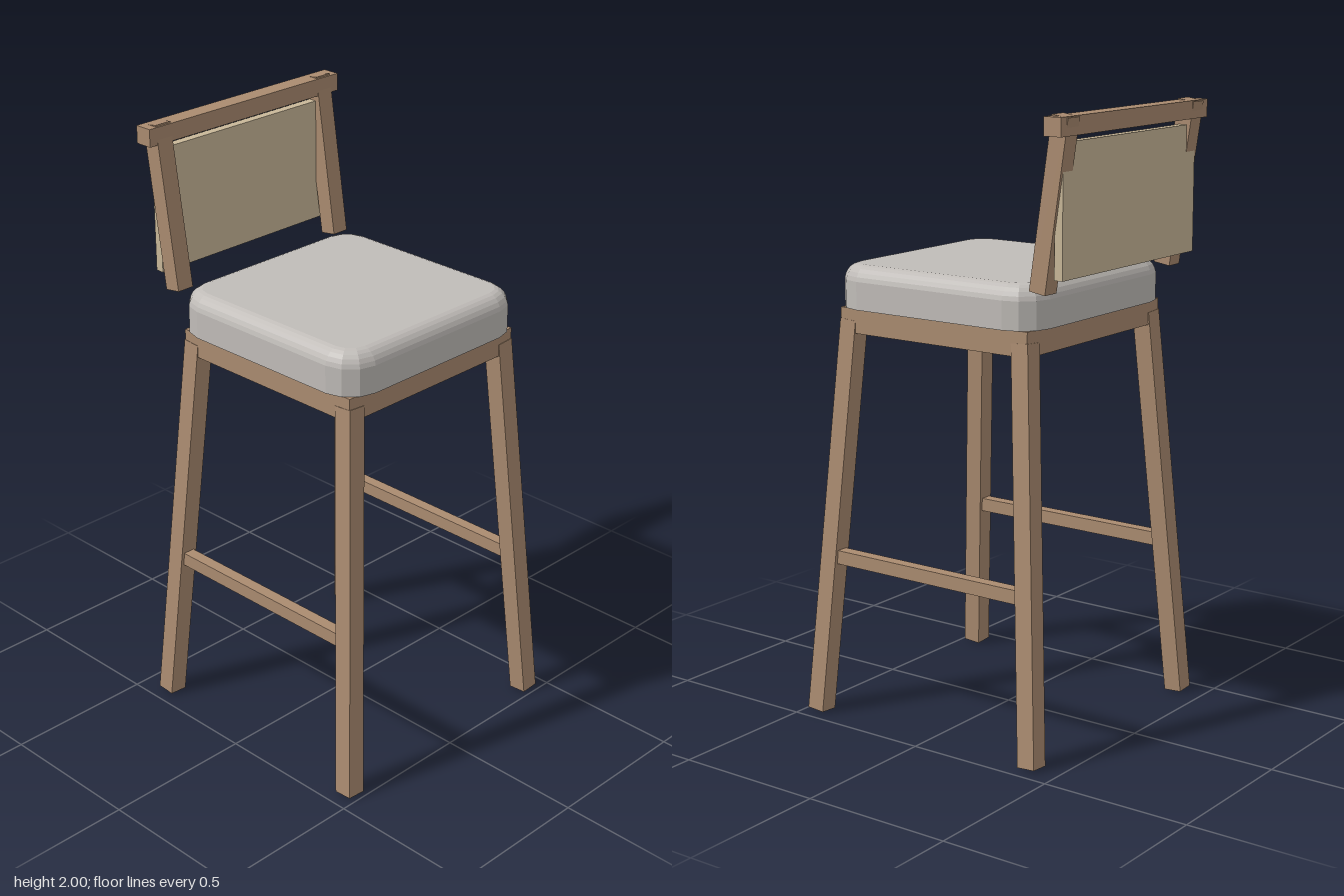
import * as THREE from 'three';

export function createModel() {
  const model = new THREE.Group();
  model.name = 'barStool';
  const material = (name, color, flat = false) => {
    const m = new THREE.MeshStandardMaterial({ color, flatShading: flat });
    m.name = name;
    return m;
  };
  const wood = material('wood', 0xaa8b70);
  const fabric = material('greyFabric', 0xc0bcb8, true);
  const cane = material('cane', 0xc9b899);

  const box = (name, size, position, mat = wood) => {
    const mesh = new THREE.Mesh(new THREE.BoxGeometry(...size), mat);
    mesh.name = name;
    mesh.position.set(...position);
    model.add(mesh);
    return mesh;
  };
  const cx = 0.028; // centre of the seat

  // Splayed legs
  for (const sx of [-1, 1]) {
    for (const sz of [-1, 1]) {
      const leg = box((sz > 0 ? 'front' : 'back') + (sx > 0 ? 'Left' : 'Right') + 'Leg',
        [0.062, 1.31, 0.062], [cx + sx * 0.38, 0.658, sz * 0.381]);
      leg.rotation.set(-0.07 * sz, 0, 0.07 * sx);
    }
  }

  // Stretchers on two sides, and the solid seat frame
  for (const s of [-1, 1]) box('stretcher', [0.76, 0.045, 0.04], [cx, 0.533, s * 0.39]);
  box('seatFrame', [0.726, 0.08, 0.73], [cx, 1.31, 0]);

  // Cushion: rounded rectangles lofted with a stepped, softened top edge
  const profile = [[0, 1.35], [0, 1.44], [0.004, 1.454], [0.011, 1.467],
    [0.021, 1.478], [0.032, 1.485], [0.045, 1.489]];
  const radius = 0.105, steps = 3, count = 4 * (steps + 1);
  const vertices = [], faces = [];
  for (const [inset, y] of profile) {
    for (let c = 0; c < 4; c++) {
      const sx = c === 0 || c === 3 ? 1 : -1, sz = c < 2 ? 1 : -1;
      for (let i = 0; i <= steps; i++) {
        const a = (c + i / steps) * Math.PI / 2, r = radius - inset;
        vertices.push(cx + sx * (0.387 - radius) + r * Math.cos(a), y,
          sz * (0.385 - radius) + r * Math.sin(a));
      }
    }
  }
  for (let k = 0; k < profile.length - 1; k++) {
    for (let i = 0; i < count; i++) {
      const a = k * count + i, b = k * count + (i + 1) % count;
      faces.push(a, a + count, b, b, a + count, b + count);
    }
  }
  const top = (profile.length - 1) * count;
  for (let i = 1; i < count - 1; i++) {
    faces.push(0, i, i + 1, top, top + i + 1, top + i);
  }
  const cushionGeometry = new THREE.BufferGeometry();
  cushionGeometry.setAttribute('position', new THREE.Float32BufferAttribute(vertices, 3));
  cushionGeometry.setIndex(faces);
  cushionGeometry.computeVertexNormals();
  const cushion = new THREE.Mesh(cushionGeometry, fabric);
  cushion.name = 'cushion';
  model.add(cushion);

  // Backrest: tilted posts, top rail and upright cane panel
  for (const s of [-1, 1]) {
    const post = box('backPost', [0.058, 0.53, 0.06], [-0.416, 1.734, s * 0.345]);
    post.rotation.z = 0.15;
  }
  box('topRail', [0.06, 0.057, 0.81], [-0.45, 1.967, 0]);
  box('backPanel', [0.029, 0.405, 0.73], [-0.446, 1.717, 0], cane);

  return model;
}
